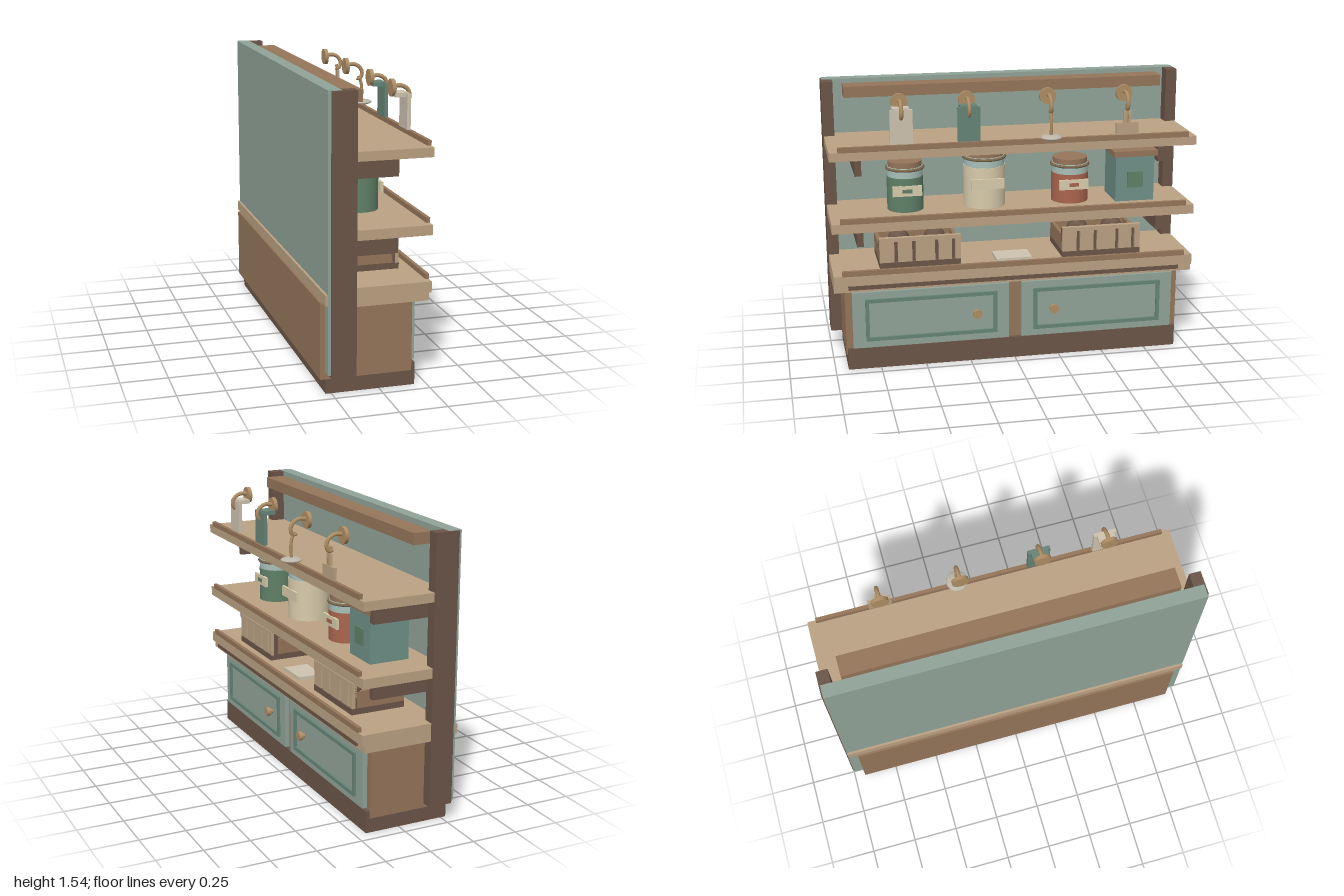
import * as THREE from 'three';

const mat = (color) => new THREE.MeshStandardMaterial({ color });
const M = {
  light: mat(0xbaa182), mid: mat(0x95755a), dark: mat(0x6b5548), teal: mat(0x90a398),
  deepTeal: mat(0x668476), tin: mat(0x6f9087), green: mat(0x5f8067), cream: mat(0xd8cbab),
  red: mat(0xa9654e), glass: mat(0xa9c0b8), brass: mat(0xae8d64), bronze: mat(0x7d684e),
  paper: mat(0xcdc2ae), steel: mat(0xbdb7a8),
};

export function createModel() {
  const root = new THREE.Group();

  const add = (name, geometry, material, parent = root) => {
    const mesh = new THREE.Mesh(geometry, material);
    mesh.name = name;
    parent.add(mesh);
    return mesh;
  };
  // Box given by its extents on each axis
  const box = (name, material, [x0, x1], [y0, y1], [z0, z1], parent = root) => {
    const m = add(name, new THREE.BoxGeometry(x1 - x0, y1 - y0, z1 - z0), material, parent);
    m.position.set((x0 + x1) / 2, (y0 + y1) / 2, (z0 + z1) / 2);
    return m;
  };
  // Upright cylinder between two heights
  const drum = (name, material, r, y0, y1, parent) => {
    const m = add(name, new THREE.CylinderGeometry(r, r, y1 - y0, 24), material, parent);
    m.position.y = (y0 + y1) / 2;
    return m;
  };
  // Short cylinder lying along x
  const disc = (name, material, r, x0, x1, y, parent) => {
    const m = add(name, new THREE.CylinderGeometry(r, r, x1 - x0, 20), material, parent);
    m.rotation.z = Math.PI / 2;
    m.position.set((x0 + x1) / 2, y, 0);
    return m;
  };
  const tube = (name, material, points, r, parent) => {
    const curve = new THREE.CatmullRomCurve3(points.map(([x, y]) => new THREE.Vector3(x, y, 0)));
    return add(name, new THREE.TubeGeometry(curve, 20, r, 8), material, parent);
  };
  const group = (name, z) => {
    const g = new THREE.Group();
    g.name = name;
    g.position.z = z;
    root.add(g);
    return g;
  };

  // Base cabinet and back
  box('plinth', M.dark, [-0.28, 0.19], [0, 0.12], [-0.93, 0.93]);
  box('cabinetBody', M.mid, [-0.31, 0.17], [0.08, 0.48], [-0.937, 0.937]);
  box('backBoard', M.teal, [-0.285, -0.215], [0.12, 1.54], [-0.993, 0.993]);
  box('backLedge', M.light, [-0.298, -0.24], [0.48, 0.535], [-0.99, 0.99]);

  // Countertop
  box('counterSlab', M.light, [-0.22, 0.25], [0.505, 0.562], [-0.996, 0.996]);
  box('counterUnderlay', M.light, [-0.22, 0.235], [0.465, 0.505], [-0.996, 0.996]);
  box('counterTrim', M.dark, [0.225, 0.247], [0.48, 0.507], [-0.92, 0.92]);

  // Shelves and the low rails along their front edges
  box('lowerShelf', M.light, [-0.22, 0.25], [0.8, 0.852], [-0.996, 0.996]);
  box('upperShelf', M.light, [-0.22, 0.25], [1.192, 1.24], [-0.996, 0.996]);
  for (const y of [0.56, 0.85, 1.238]) {
    box('shelfRail', M.mid, [0.232, 0.252], [y, y + 0.028], [-0.95, 0.95]);
  }
  box('topRail', M.mid, [-0.19, -0.08], [1.46, 1.52], [-0.885, 0.885]);

  for (const s of [-1, 1]) {
    const span = (a, b) => [Math.min(s * a, s * b), Math.max(s * a, s * b)];
    box('post', M.dark, [-0.27, -0.14], [0.105, 1.538], span(0.938, 1));
    for (const y of [0.68, 1.074]) {
      box('shelfBracket', M.dark, [-0.215, 0.12], [y, y + 0.11], span(0.82, 0.856));
    }
    // Door with raised moulding frame and knob
    box('door', M.teal, [0.16, 0.197], [0.125, 0.445], span(0.035, 0.9));
    for (const y of [0.165, 0.385]) {
      box('doorMoulding', M.deepTeal, [0.19, 0.209], [y, y + 0.02], span(0.103, 0.83));
    }
    for (const z of [0.103, 0.81]) {
      box('doorMoulding', M.deepTeal, [0.19, 0.209], [0.185, 0.385], span(z, z + 0.02));
    }
    const knob = group('doorKnob', s * 0.217);
    disc('knobStem', M.brass, 0.012, 0.19, 0.215, 0.285, knob);
    disc('knobHead', M.brass, 0.025, 0.213, 0.235, 0.285, knob);
  }

  // Storage jars: body, glass neck, collar, lid and label
  const jar = (z, r, top, colour, mark) => {
    const g = group('jar', z);
    drum('jarBody', colour, r, 0.852, top - 0.085, g);
    drum('jarNeck', M.glass, r * 0.97, top - 0.085, top - 0.03, g);
    const ring = add('jarCollar', new THREE.TorusGeometry(r, 0.008, 8, 28), M.bronze, g);
    ring.rotation.x = Math.PI / 2;
    ring.position.y = top - 0.04;
    drum('jarLid', M.mid, r * 0.93, top - 0.035, top, g);
    const y = (0.852 + top) / 2 - 0.015;
    box('jarLabel', M.cream, [r - 0.008, r + 0.006], [y - 0.028, y + 0.028], [-r * 0.8, r * 0.8], g);
    if (mark) box('labelMark', mark, [r, r + 0.01], [y - 0.01, y + 0.01], [-0.027, 0.027], g);
  };
  jar(0.575, 0.1, 1.125, M.green, M.green);
  jar(0.137, 0.115, 1.165, M.cream, null);
  jar(-0.348, 0.103, 1.1, M.red, M.red);

  // Square tin
  const tin = group('tin', -0.695);
  box('tinBody', M.tin, [-0.11, 0.11], [0.852, 1.11], [-0.11, 0.11], tin);
  box('tinLid', M.mid, [-0.125, 0.125], [1.108, 1.14], [-0.125, 0.125], tin);
  box('tinPatch', M.green, [0.1, 0.118], [0.93, 1.02], [-0.045, 0.045], tin);

  // Open crates with slatted fronts
  for (const z of [0.518, -0.496]) {
    const c = group('crate', z);
    box('crateBase', M.dark, [-0.14, 0.165], [0.562, 0.595], [-0.222, 0.222], c);
    box('crateBack', M.mid, [-0.14, -0.12], [0.595, 0.73], [-0.222, 0.222], c);
    for (const s of [-1, 1]) {
      box('crateEnd', M.mid, [-0.14, 0.135], [0.595, 0.685], [s * 0.212 - 0.01, s * 0.212 + 0.01], c);
      const filling = add('crateFilling', new THREE.SphereGeometry(0.06, 16, 10), M.dark, c);
      filling.position.set(0, 0.677, s * 0.1);
    }
    box('crateFront', M.dark, [0.12, 0.145], [0.595, 0.725], [-0.222, 0.222], c);
    const edges = [-0.222, -0.182, -0.09, 0.035, 0.132, 0.222];
    for (let i = 0; i < 5; i++) {
      box('crateSlat', M.light, [0.135, 0.163], [0.59, 0.732],
        [edges[i] + (i ? 0.01 : 0), edges[i + 1] - (i < 4 ? 0.01 : 0)], c);
    }
    box('crateTopBar', M.light, [0.14, 0.163], [0.71, 0.732], [-0.222, 0.222], c);
  }

  // Notebook lying on the counter
  box('notebook', M.paper, [0.03, 0.17], [0.56, 0.58], [-0.1, 0.1]);

  // Hooks, each with something hanging from it
  const hook = (z) => {
    const g = group('hook', z);
    disc('hookPlate', M.brass, 0.045, 0.15, 0.17, 1.478, g);
    tube('hookArm', M.brass, [[0.165, 1.485], [0.21, 1.487], [0.245, 1.465], [0.255, 1.43],
      [0.24, 1.405], [0.222, 1.41]], 0.011, g);
    return g;
  };
  for (const [z, m] of [[0.615, M.paper], [0.257, M.deepTeal]]) {
    const g = hook(z);
    box('towelFront', m, [0.222, 0.242], [1.268, 1.45], [-0.06, 0.06], g);
    box('towelFold', m, [0.165, 0.235], [1.434, 1.456], [-0.045, 0.045], g);
  }
  const ladle = hook(-0.182);
  tube('ladleStem', M.brass, [[0.235, 1.42], [0.25, 1.38], [0.255, 1.32], [0.25, 1.275]], 0.009, ladle);
  const bowl = add('ladleBowl', new THREE.SphereGeometry(0.058, 24, 12), M.steel, ladle);
  bowl.scale.y = 0.25;
  bowl.position.set(0.252, 1.272, 0);
  const spatula = hook(-0.604);
  tube('spatulaStem', M.brass, [[0.23, 1.43], [0.237, 1.38], [0.237, 1.31]], 0.009, spatula);
  box('spatulaBlade', M.light, [0.228, 0.246], [1.255, 1.332], [-0.062, 0.062], spatula);
  box('spatulaShoulder', M.light, [0.23, 0.244], [1.325, 1.395], [-0.02, 0.02], spatula);

  return root;
}
